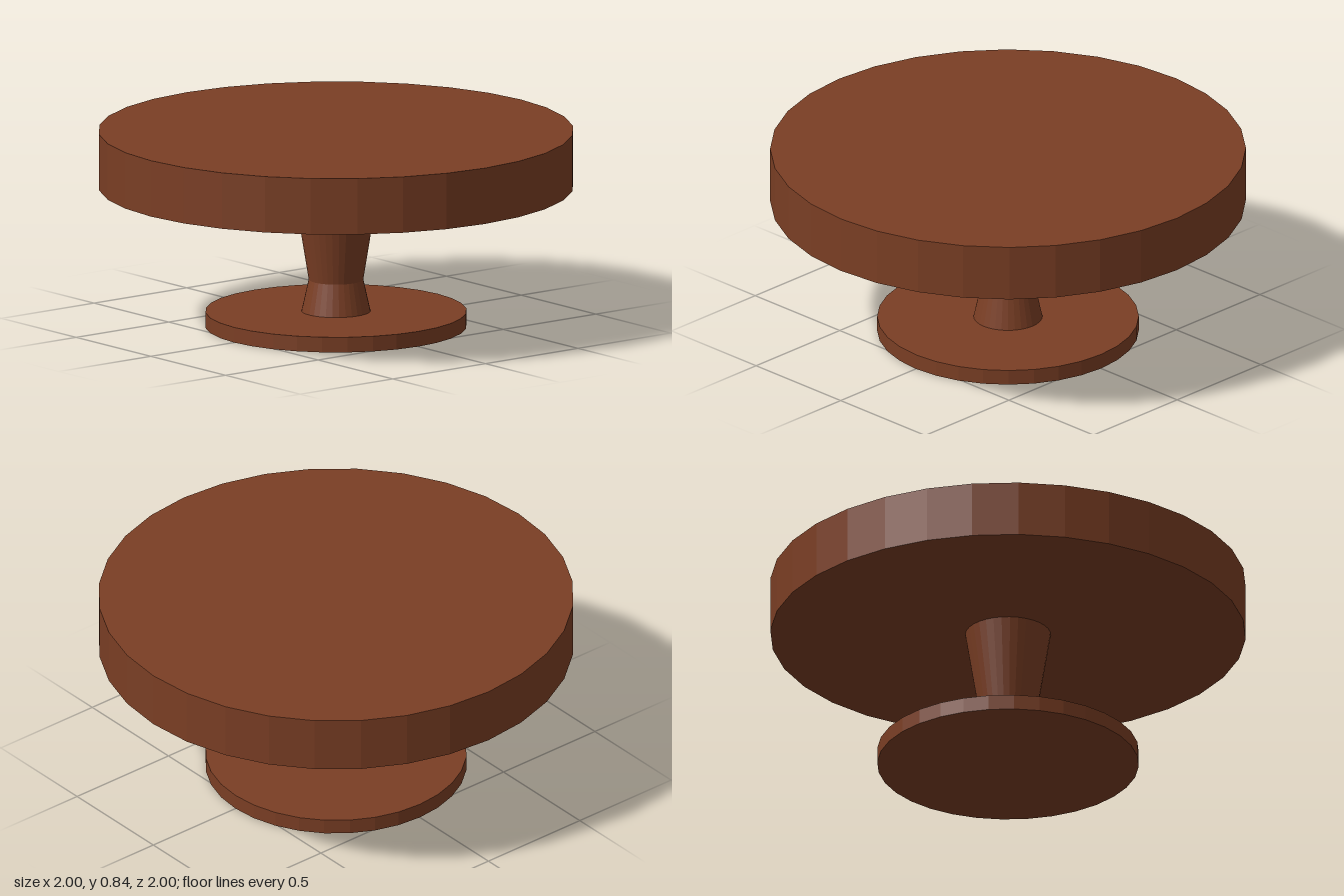
import * as THREE from 'three';

const SIDES = 32;
const wood = new THREE.MeshStandardMaterial({ color: 0x7a3e24, flatShading: true });

// Convex frustum as a list of outward-facing polygons
function frustum(r0, y0, r1, y1) {
  const ring = (r, y) => Array.from({ length: SIDES }, (_, i) => {
    const a = (i / SIDES) * Math.PI * 2;
    return new THREE.Vector3(r * Math.sin(a), y, r * Math.cos(a));
  });
  const lo = ring(r0, y0), hi = ring(r1, y1);
  const faces = [hi, [...lo].reverse()];
  for (let i = 0; i < SIDES; i++) {
    const j = (i + 1) % SIDES;
    faces.push([lo[i], lo[j], hi[j], hi[i]]);
  }
  return faces;
}

// Keep the part of a convex solid behind a plane and close the cut
function cut(faces, plane) {
  const kept = [], rim = [];
  for (const face of faces) {
    const poly = [];
    face.forEach((p, i) => {
      const q = face[(i + 1) % face.length];
      const dp = plane.distanceToPoint(p), dq = plane.distanceToPoint(q);
      if (dp <= 0) poly.push(p);
      if ((dp <= 0) !== (dq <= 0)) {
        const c = p.clone().lerp(q, dp / (dp - dq));
        poly.push(c);
        if (!rim.some((r) => r.distanceTo(c) < 1e-6)) rim.push(c);
      }
    });
    if (poly.length > 2) kept.push(poly);
  }
  if (rim.length > 2) {
    const mid = rim.reduce((s, p) => s.add(p), new THREE.Vector3()).divideScalar(rim.length);
    const u = rim[0].clone().sub(mid).normalize();
    const v = plane.normal.clone().cross(u);
    const angle = (p) => {
      const d = p.clone().sub(mid);
      return Math.atan2(d.dot(v), d.dot(u));
    };
    kept.push(rim.sort((a, b) => angle(a) - angle(b)));
  }
  return kept;
}

function toGeometry(faces) {
  const pos = [];
  for (const f of faces) {
    for (let i = 1; i < f.length - 1; i++) {
      for (const p of [f[0], f[i], f[i + 1]]) pos.push(p.x, p.y, p.z);
    }
  }
  const geo = new THREE.BufferGeometry();
  geo.setAttribute('position', new THREE.Float32BufferAttribute(pos, 3));
  geo.computeVertexNormals();
  return geo;
}

// Break a solid into tightly fitting shards, one around each seed
function shatter(name, solid, seeds) {
  const group = new THREE.Group();
  group.name = name;
  seeds.forEach((s, i) => {
    let faces = solid;
    seeds.forEach((t, j) => {
      if (i === j || !faces.length) return;
      const normal = t.clone().sub(s).normalize();
      const middle = s.clone().add(t).multiplyScalar(0.5);
      faces = cut(faces, new THREE.Plane().setFromNormalAndCoplanarPoint(normal, middle));
    });
    if (!faces.length) return;
    const mesh = new THREE.Mesh(toGeometry(faces), wood);
    mesh.name = name + 'Shard' + (i + 1);
    group.add(mesh);
  });
  return group;
}

// Shard centres on the unit disc, as x, z
const DISC = [
  [-0.22, -0.9], [0.08, -0.76], [0.42, -0.82], [0.72, -0.58], [0.26, -0.5],
  [-0.62, -0.7], [-0.5, -0.5], [-0.17, -0.56], [-0.85, -0.3], [-0.5, -0.22],
  [-0.2, -0.3], [0.22, -0.22], [0.58, -0.36], [0.9, -0.22], [0.78, 0.08],
  [0.4, 0.08], [-0.12, -0.04], [-0.42, 0.06], [-0.82, 0.03], [-0.8, 0.42],
  [-0.32, 0.45], [0.02, 0.3], [0.36, 0.38], [0.75, 0.45], [0.22, 0.62],
  [0.42, 0.85], [-0.12, 0.86], [-0.62, 0.7],
];

// Heights vary from shard to shard so the cracks lean
const discSeeds = (r, y, spread, turn) => DISC.map(([x, z], i) =>
  new THREE.Vector3(x * r, y + spread * Math.sin(i * 2.4), z * r)
    .applyAxisAngle(new THREE.Vector3(0, 1, 0), turn));

// Shards stacked in rings up the stem
function stemSeeds(rows, r, perRow) {
  return rows.flatMap((y, k) => Array.from({ length: perRow }, (_, i) => {
    const a = ((i + k * 0.5) / perRow) * Math.PI * 2;
    return new THREE.Vector3(r * Math.sin(a), y + 0.03 * Math.sin(i * 2.4 + k), r * Math.cos(a));
  }));
}

export function createModel() {
  const table = new THREE.Group();
  table.name = 'crackedRoundTable';
  table.add(
    shatter('tabletop', frustum(1, 0.6, 1, 0.84), discSeeds(1, 0.72, 0.07, 0)),
    shatter('upperStem', frustum(0.115, 0.2, 0.18, 0.6), stemSeeds([0.26, 0.39, 0.54], 0.09, 4)),
    shatter('lowerStem', frustum(0.145, 0.065, 0.115, 0.2), stemSeeds([0.13], 0.08, 5)),
    shatter('foot', frustum(0.55, 0, 0.55, 0.065), discSeeds(0.55, 0.033, 0.025, 2)),
  );
  return table;
}
